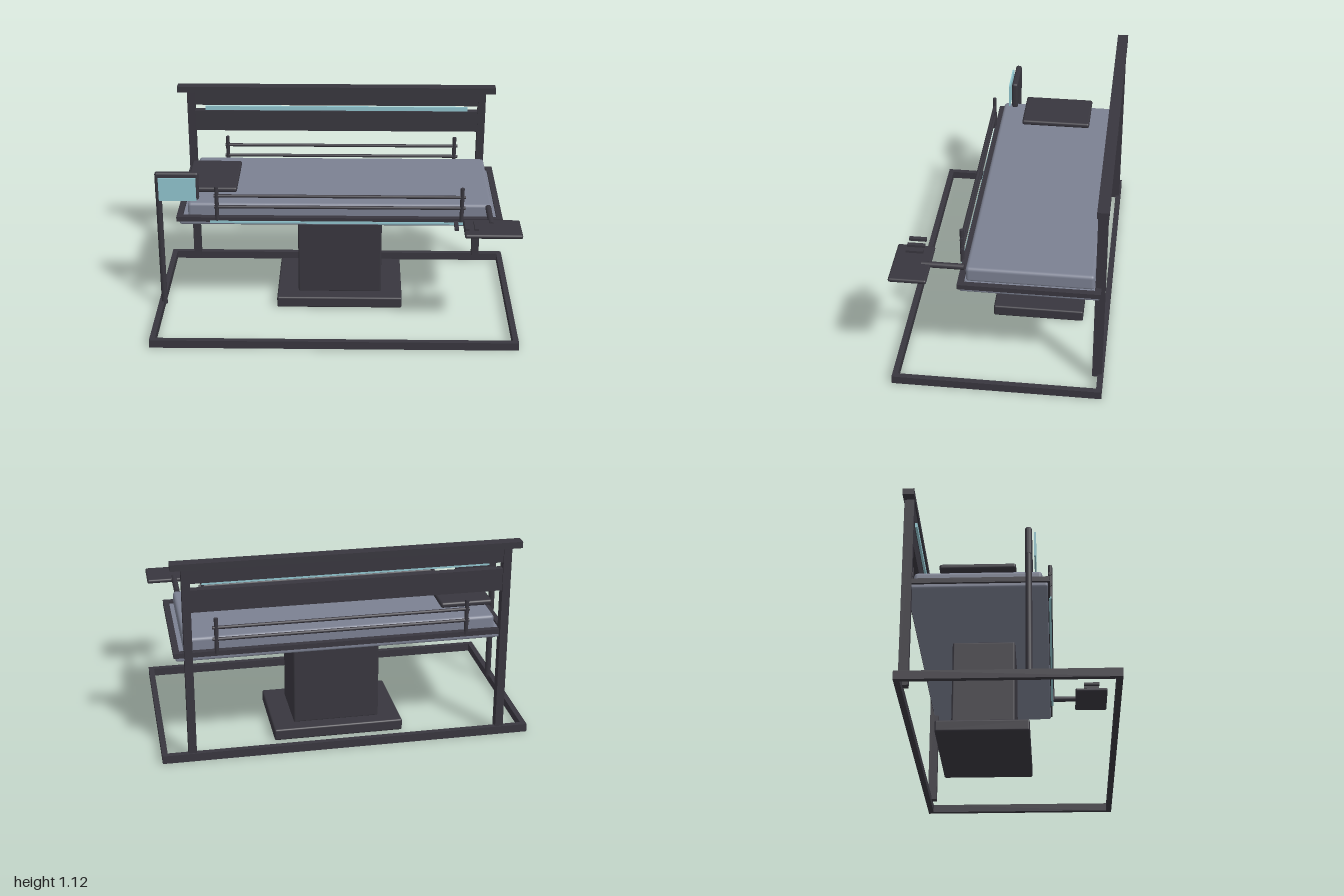
import * as THREE from 'three';
import { RoundedBoxGeometry } from 'three/addons/geometries/RoundedBoxGeometry.js';

export function createModel() {
  const model = new THREE.Group();
  model.name = 'examinationTable';

  const mat = (name, color) => {
    const m = new THREE.MeshStandardMaterial({ color });
    m.name = name;
    return m;
  };
  const dark = mat('charcoal', 0x38363e);
  const grey = mat('blueGrey', 0x7b8091);
  const cyan = mat('paleCyan', 0x90c4cd);

  // Box given by its minimum and maximum corners, rounded when r > 0
  const box = (name, material, [x0, y0, z0], [x1, y1, z1], r = 0) => {
    const w = x1 - x0, h = y1 - y0, d = z1 - z0;
    const geo = r > 0 ? new RoundedBoxGeometry(w, h, d, 3, r) : new THREE.BoxGeometry(w, h, d);
    const mesh = new THREE.Mesh(geo, material);
    mesh.name = name;
    mesh.position.set((x0 + x1) / 2, (y0 + y1) / 2, (z0 + z1) / 2);
    model.add(mesh);
    return mesh;
  };

  // Straight round bar between two points
  const rod = (name, material, a, b, r) => {
    const p = new THREE.Vector3(...a), q = new THREE.Vector3(...b);
    const mesh = new THREE.Mesh(new THREE.CylinderGeometry(r, r, p.distanceTo(q), 16), material);
    mesh.name = name;
    mesh.position.copy(p).lerp(q, 0.5);
    mesh.quaternion.setFromUnitVectors(new THREE.Vector3(0, 1, 0), q.sub(p).normalize());
    model.add(mesh);
  };

  // Rectangular frame with an open middle
  const frame = (name, x0, x1, z0, z1, y0, y1, bar) => {
    const rect = (path, i) => {
      path.moveTo(x0 + i, -z1 + i);
      path.lineTo(x1 - i, -z1 + i);
      path.lineTo(x1 - i, -z0 - i);
      path.lineTo(x0 + i, -z0 - i);
      path.closePath();
      return path;
    };
    const shape = rect(new THREE.Shape(), 0);
    shape.holes.push(rect(new THREE.Path(), bar));
    const geo = new THREE.ExtrudeGeometry(shape, { depth: y1 - y0, bevelEnabled: false });
    geo.rotateX(-Math.PI / 2);
    const mesh = new THREE.Mesh(geo, dark);
    mesh.name = name;
    mesh.position.y = y0;
    model.add(mesh);
  };

  // Floor frame, pedestal plate and column
  frame('floorFrame', -1, 1, -0.553, 0.553, 0, 0.045, 0.03);
  box('pedestalPlate', dark, [-0.33, 0, -0.41], [0.38, 0.065, 0.09], 0.01);
  box('pedestalColumn', dark, [-0.21, 0.06, -0.332], [0.262, 0.572, 0.01], 0.01);

  // Rear gantry: posts, cap, two panels and the light strip between them
  box('rightPost', dark, [-0.865, 0.03, -0.545], [-0.822, 1.09, -0.494]);
  box('leftPost', dark, [0.817, 0.03, -0.545], [0.86, 1.09, -0.494]);
  box('gantryCap', dark, [-0.92, 1.085, -0.55], [0.915, 1.12, -0.49]);
  box('upperPanel', dark, [-0.83, 1.008, -0.538], [0.825, 1.09, -0.498]);
  box('lowerPanel', dark, [-0.83, 0.85, -0.538], [0.825, 0.972, -0.498]);
  box('gantryLight', cyan, [-0.76, 0.981, -0.497], [0.755, 1.005, -0.485]);

  // Table top: under tray, frame, mattress, pillow and front light strip
  box('underTray', grey, [-0.85, 0.57, -0.52], [0.905, 0.607, 0.196], 0.012);
  frame('tableFrame', -0.865, 0.915, -0.525, 0.206, 0.593, 0.62, 0.032);
  box('mattress', grey, [-0.805, 0.6, -0.49], [0.86, 0.686, 0.168], 0.018);
  box('pillow', dark, [-0.83, 0.69, -0.358], [-0.545, 0.72, 0.035], 0.012);
  box('tableLight', cyan, [-0.68, 0.588, 0.2], [0.73, 0.6, 0.212]);

  // Side rails along the front and back edges
  for (const z of [0.208, -0.52]) {
    for (const x of [-0.64, 0.69]) rod('railPost', dark, [x, 0.605, z], [x, 0.803, z], 0.011);
    for (const y of [0.685, 0.75]) rod('railBar', dark, [-0.655, y, z], [0.71, y, z], 0.009);
  }

  // Monitor on its pole, with the screen set just in front
  rod('monitorPole', dark, [-0.97, 0.03, 0.102], [-0.97, 0.72, 0.102], 0.017);
  box('monitorCase', dark, [-0.987, 0.68, 0.085], [-0.747, 0.843, 0.119], 0.013);
  box('monitorScreen', cyan, [-0.965, 0.686, 0.13], [-0.76, 0.82, 0.139]);

  // Instrument tray on its arm
  rod('trayArm', dark, [0.835, 0.677, 0.177], [0.835, 0.677, 0.396], 0.016);
  box('instrumentTray', dark, [0.685, 0.663, 0.348], [0.988, 0.686, 0.543], 0.01);
  for (const x of [0.645, 0.7, 0.75]) {
    box('instrument', dark, [x - 0.011, 0.685, 0.4], [x + 0.011, 0.699, 0.492]);
  }

  return model;
}
